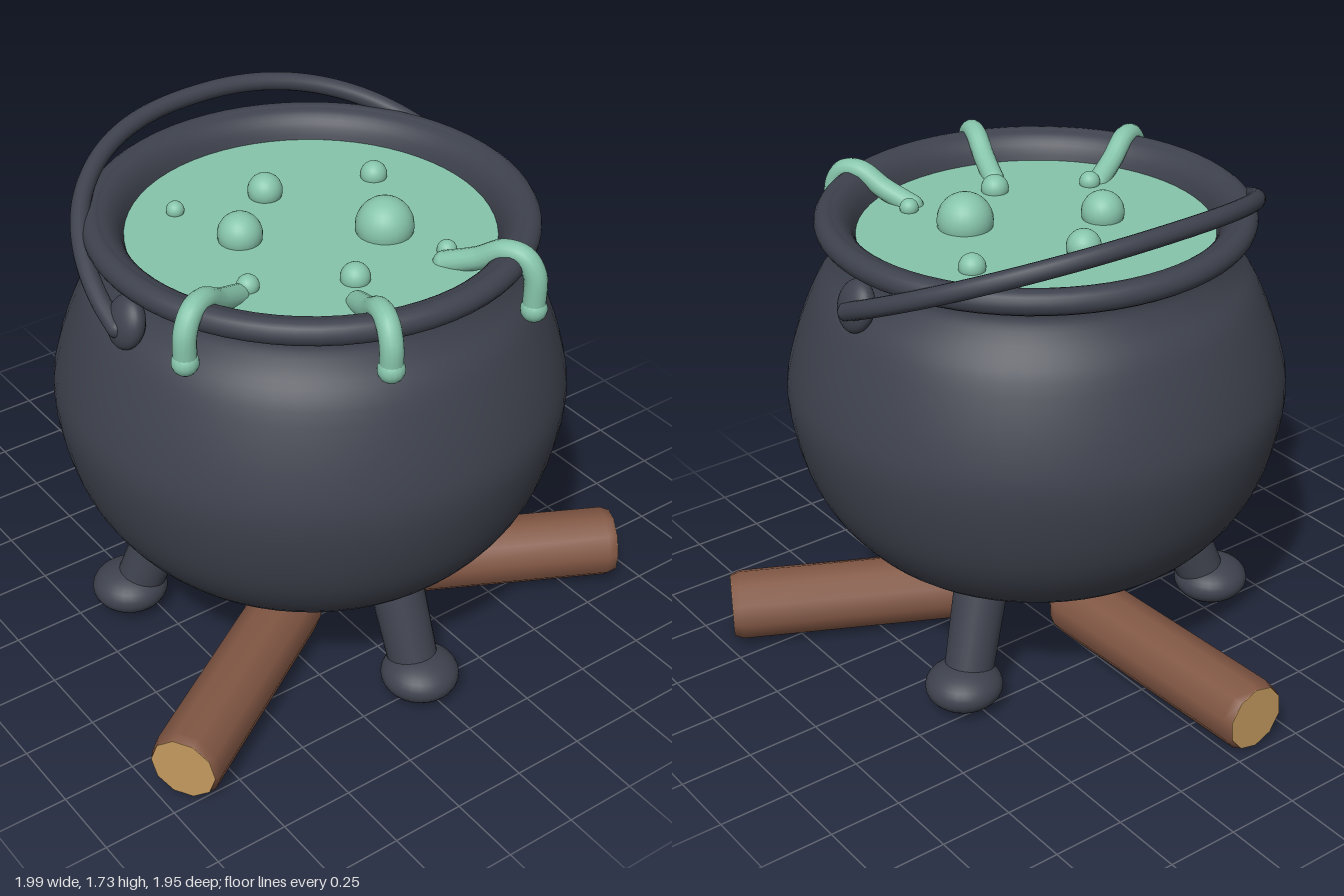
import * as THREE from 'three';

const mat = (name, color) => {
  const m = new THREE.MeshStandardMaterial({ color });
  m.name = name;
  return m;
};

export function createModel() {
  const root = new THREE.Group();
  root.name = 'cauldron';
  const iron = mat('iron', 0x3e424d);
  const brew = mat('green brew', 0x86c4ab);
  const bark = mat('bark', 0x825744);
  const wood = mat('cut wood', 0xc49a5f);
  const V = (x, y, z) => new THREE.Vector3(x, y, z);

  const add = (parent, name, geo, material, x = 0, y = 0, z = 0) => {
    const m = new THREE.Mesh(geo, material);
    m.name = name;
    m.position.set(x, y, z);
    parent.add(m);
    return m;
  };

  // Cylinder running between two points
  const rod = (parent, name, a, b, rA, rB) => {
    const geo = new THREE.CylinderGeometry(rB, rA, a.distanceTo(b), 24);
    const m = add(parent, name, geo, iron);
    m.position.copy(a).lerp(b, 0.5);
    m.quaternion.setFromUnitVectors(V(0, 1, 0), b.clone().sub(a).normalize());
    return m;
  };

  // The pot sits a little off the centre of the log fire
  const pot = new THREE.Group();
  pot.name = 'pot';
  pot.position.set(-0.02, 0, 0.12);
  root.add(pot);

  // Round belly narrowing to the neck
  const belly = new THREE.SplineCurve([
    [0, 0.33], [0.2, 0.331], [0.35, 0.342], [0.52, 0.385], [0.66, 0.474], [0.785, 0.66],
    [0.848, 0.92], [0.825, 1.1], [0.745, 1.31], [0.672, 1.41], [0.638, 1.48], [0.65, 1.54],
  ].map(([x, y]) => new THREE.Vector2(x, y)));
  const bellyPoints = belly.getPoints(48);
  bellyPoints[0].x = 0;
  add(pot, 'belly', new THREE.LatheGeometry(bellyPoints, 64), iron);

  // Rolled rim and the sloping wall inside it
  add(pot, 'rim', new THREE.TorusGeometry(0.688, 0.041, 16, 64).rotateX(Math.PI / 2), iron, 0, 1.56, 0);
  const wall = new THREE.SplineCurve([
    [0.688, 1.6], [0.645, 1.588], [0.61, 1.55], [0.588, 1.49],
  ].map(([x, y]) => new THREE.Vector2(x, y)));
  add(pot, 'innerWall', new THREE.LatheGeometry(wall.getPoints(10), 64), iron);

  // Brew surface and bubbles: x, z, radius
  add(pot, 'brewSurface', new THREE.CircleGeometry(0.595, 64).rotateX(-Math.PI / 2), brew, 0, 1.51, 0);
  for (const [x, z, r] of [
    [-0.30, -0.33, 0.03], [0, -0.255, 0.058], [0.365, -0.15, 0.045], [-0.225, -0.07, 0.073],
    [0.18, 0.15, 0.095], [-0.37, 0.185, 0.036], [-0.075, 0.335, 0.048], [0.255, 0.37, 0.032],
  ]) {
    add(pot, 'bubble', new THREE.SphereGeometry(r, 24, 16), brew, x, 1.53 - 0.01 * (r < 0.05), z);
  }

  // Drips running over the rim: outward direction and height of the drop
  for (const [dx, dz, low] of [[-0.905, 0.425, 1.44], [-0.31, 0.951, 1.458], [0.47, 0.883, 1.42]]) {
    const at = (r, y) => V(dx * r, y, dz * r);
    const path = new THREE.CatmullRomCurve3([
      at(0.46, 1.505), at(0.57, 1.55), at(0.655, 1.598), at(0.72, 1.592), at(0.757, 1.54), at(0.762, low),
    ]);
    const drip = new THREE.Group();
    drip.name = 'drip';
    pot.add(drip);
    add(drip, 'dripStream', new THREE.TubeGeometry(path, 40, 0.037, 14), brew);
    add(drip, 'dripStart', new THREE.SphereGeometry(0.037, 16, 12), brew).position.copy(at(0.46, 1.505));
    add(drip, 'dripDrop', new THREE.SphereGeometry(0.043, 16, 12), brew).position.copy(at(0.762, low));
  }

  // Carrying handle leaning to the back
  const arc = [];
  for (let i = 0; i <= 24; i++) {
    const t = (i / 24) * Math.PI;
    const c = Math.cos(t);
    const s = Math.sin(t);
    arc.push(V(0.735 * Math.sign(c) * Math.abs(c) ** 0.88, 1.41 + 0.3 * s ** 0.95, 0.01 - 0.67 * s ** 0.95));
  }
  add(pot, 'handle', new THREE.TubeGeometry(new THREE.CatmullRomCurve3(arc), 96, 0.031, 14), iron);

  // Handle knobs
  for (const side of [1, -1]) {
    const knob = add(pot, 'handleKnob', new THREE.SphereGeometry(1, 28, 18), iron, side * 0.7, 1.42, 0.01);
    knob.scale.set(0.048, 0.088, 0.08);
    knob.rotation.z = side * 0.3;
    add(pot, 'handleEnd', new THREE.SphereGeometry(0.031, 14, 10), iron, side * 0.735, 1.41, 0.01);
  }

  // Three splayed legs with flattened round feet
  for (let i = 0; i < 3; i++) {
    const leg = new THREE.Group();
    leg.name = 'leg';
    leg.rotation.y = (i * Math.PI * 2) / 3;
    pot.add(leg);
    rod(leg, 'shin', V(0, 0.09, 0.61), V(0, 0.42, 0.475), 0.083, 0.092);
    add(leg, 'foot', new THREE.SphereGeometry(1, 28, 18), iron, 0, 0.09, 0.635).scale.set(0.132, 0.078, 0.132);
  }

  // Firewood: outer end and inner end (x, z), with chamfered rims
  const logs = [
    [[-0.935, 0.71], [-0.19, 0.25]],
    [[0.94, 0.64], [0.155, 0.235]],
    [[-0.085, -0.975], [-0.045, -0.06]],
  ];
  logs.forEach(([[ax, az], [bx, bz]], i) => {
    const log = new THREE.Group();
    log.name = 'log';
    log.position.set((ax + bx) / 2, 0.13, (az + bz) / 2);
    log.rotation.y = Math.atan2(ax - bx, az - bz);
    root.add(log);
    const half = Math.hypot(ax - bx, az - bz) / 2;
    const profile = [[0.112, -half], [0.124, -half + 0.03], [0.124, half - 0.03], [0.112, half]]
      .map(([x, y]) => new THREE.Vector2(x, y));
    const spin = 0.3 + i * 0.5;
    add(log, 'logBark', new THREE.LatheGeometry(profile, 10).rotateY(spin).rotateX(Math.PI / 2), bark);
    for (const end of [1, -1]) {
      const cut = new THREE.CylinderGeometry(0.112, 0.112, 0.004, 10).rotateY(spin).rotateX(Math.PI / 2);
      add(log, 'logEnd', cut, wood, 0, 0, end * half);
    }
  });

  return root;
}
